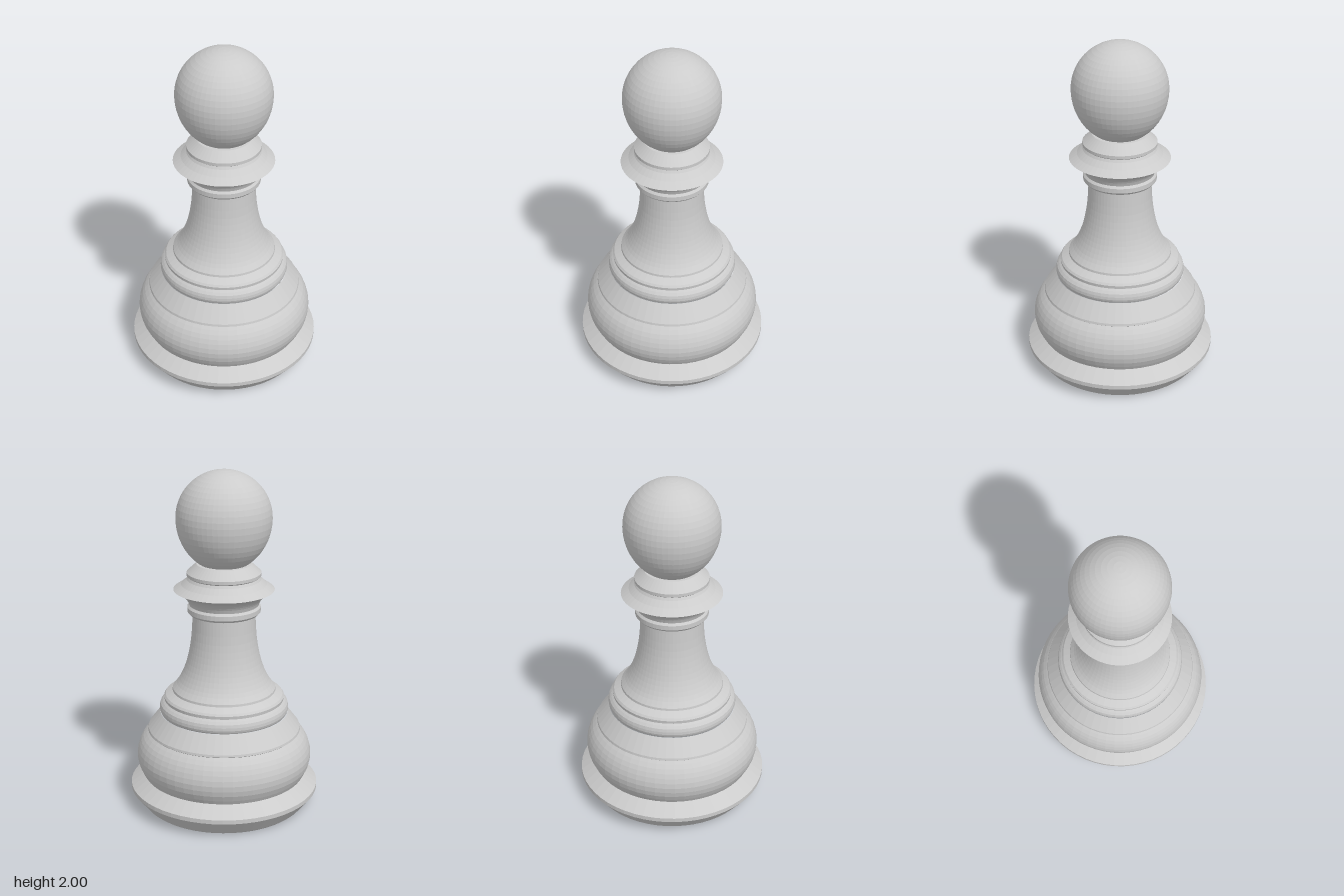
import * as THREE from 'three';

const SEGMENTS = 56;
const material = new THREE.MeshStandardMaterial({ color: 0xcccccc, flatShading: true });

const toPoints = (profile) => profile.map(([r, y]) => new THREE.Vector2(r, y));

// Smooth curve through a few [radius, height] points
const smooth = (profile, divisions) => new THREE.SplineCurve(toPoints(profile)).getPoints(divisions);

export function createModel() {
  const pawn = new THREE.Group();
  pawn.name = 'pawn';

  // Turn a bottom-to-top profile around the vertical axis
  const turn = (name, points) => {
    const mesh = new THREE.Mesh(new THREE.LatheGeometry(points, SEGMENTS), material);
    mesh.name = name;
    pawn.add(mesh);
  };

  // Foot with closed underside and bevelled rim
  turn('foot', toPoints([[0, 0], [0.47, 0], [0.485, 0.012], [0.555, 0.1], [0.555, 0.125], [0.475, 0.185]]));

  // Rounded belly
  turn('belly', smooth([[0.475, 0.185], [0.505, 0.245], [0.515, 0.31], [0.503, 0.37], [0.478, 0.42], [0.445, 0.458]], 10));

  // Sloping shoulder above the belly
  turn('shoulder', toPoints([[0.445, 0.458], [0.45, 0.462], [0.447, 0.475], [0.375, 0.57]]));

  // Two stepped rings
  turn('lowerRing', smooth([[0.37, 0.57], [0.378, 0.59], [0.373, 0.625], [0.35, 0.65]], 6));
  turn('upperRing', toPoints([[0.35, 0.65], [0.352, 0.668], [0.343, 0.68], [0.302, 0.705], [0.3, 0.718]]));

  // Concave stem
  turn('stem', smooth([[0.3, 0.718], [0.265, 0.765], [0.23, 0.84], [0.205, 0.93], [0.188, 1.04], [0.18, 1.18]], 14));

  // Narrow collar band and flared underside of the disc
  turn('collarBand', toPoints([[0.178, 1.172], [0.2, 1.172], [0.211, 1.185], [0.211, 1.212], [0.2, 1.225]]));
  turn('collarFlare', smooth([[0.2, 1.225], [0.213, 1.255], [0.242, 1.288], [0.29, 1.315]], 8));

  // Sloping top of the disc, neck band and neck
  turn('collarTop', toPoints([[0.29, 1.315], [0.245, 1.345], [0.213, 1.375], [0.204, 1.39]]));
  turn('neckBand', toPoints([[0.204, 1.39], [0.213, 1.397], [0.213, 1.415], [0.158, 1.465], [0.1, 1.467]]));

  // Ball head, slightly elongated towards the neck
  const head = [];
  for (let i = 0; i <= 22; i++) {
    const angle = -1.1 + (i / 22) * (Math.PI / 2 + 1.1);
    const height = angle < 0 ? 0.305 : 0.272;
    head.push(new THREE.Vector2(Math.max(0, 0.273 * Math.cos(angle)), 1.728 + height * Math.sin(angle)));
  }
  turn('head', head);

  return pawn;
}
